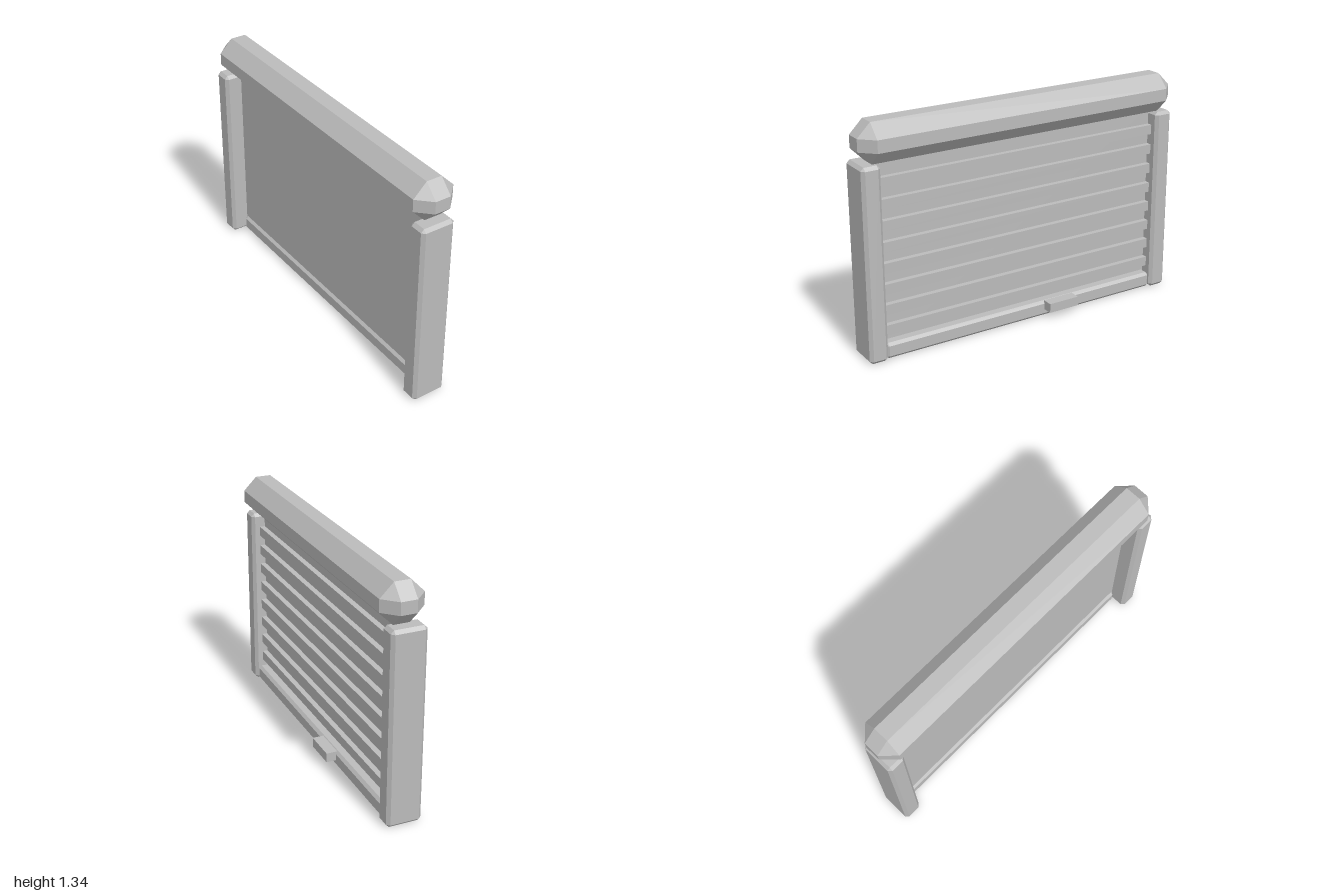
import * as THREE from 'three';
import { ConvexGeometry } from 'three/addons/geometries/ConvexGeometry.js';

const grey = new THREE.MeshStandardMaterial({ color: 0xbbbbbb });
grey.name = 'grey metal';

// Box between two corners, every edge cut back by c
function chamferBox([x0, y0, z0], [x1, y1, z1], c) {
  const half = [(x1 - x0) / 2, (y1 - y0) / 2, (z1 - z0) / 2];
  const points = [];
  for (const sx of [-1, 1]) for (const sy of [-1, 1]) for (const sz of [-1, 1]) {
    for (let axis = 0; axis < 3; axis++) {
      const p = half.map((h, i) => (i === axis ? h : h - c));
      points.push(new THREE.Vector3(p[0] * sx, p[1] * sy, p[2] * sz));
    }
  }
  return new ConvexGeometry(points).translate((x0 + x1) / 2, (y0 + y1) / 2, (z0 + z1) / 2);
}

function plainBox([x0, y0, z0], [x1, y1, z1]) {
  return new THREE.BoxGeometry(x1 - x0, y1 - y0, z1 - z0)
    .translate((x0 + x1) / 2, (y0 + y1) / 2, (z0 + z1) / 2);
}

export function createModel() {
  const model = new THREE.Group();
  model.name = 'rollerShutter';
  const add = (name, geometry) => {
    const mesh = new THREE.Mesh(geometry, grey);
    mesh.name = name;
    model.add(mesh);
  };

  // Roll housing across the top
  add('rollHousing', chamferBox([-0.125, 1.11, -1], [0.12, 1.335, 1], 0.077));

  // Guide posts at both ends
  add('frontGuidePost', chamferBox([-0.115, 0, 0.89], [0.085, 1.11, 1], 0.018));
  add('backGuidePost', chamferBox([-0.115, 0, -1], [0.085, 1.11, -0.89], 0.018));

  // Curtain with raised slats on its outer side
  add('curtain', plainBox([-0.015, 0.03, -0.895], [0.005, 1.13, 0.895]));
  for (let i = 0; i < 8; i++) {
    const y = 0.13 + i * 0.12;
    add('slat', plainBox([0, y, -0.892], [0.037, y + 0.057, 0.892]));
  }

  // Bottom rail and its pull handle
  add('bottomRail', chamferBox([-0.03, 0, -0.895], [0.067, 0.092, 0.895], 0.016));
  add('handle', plainBox([0.06, 0.04, -0.32], [0.125, 0.095, -0.125]));

  return model;
}
